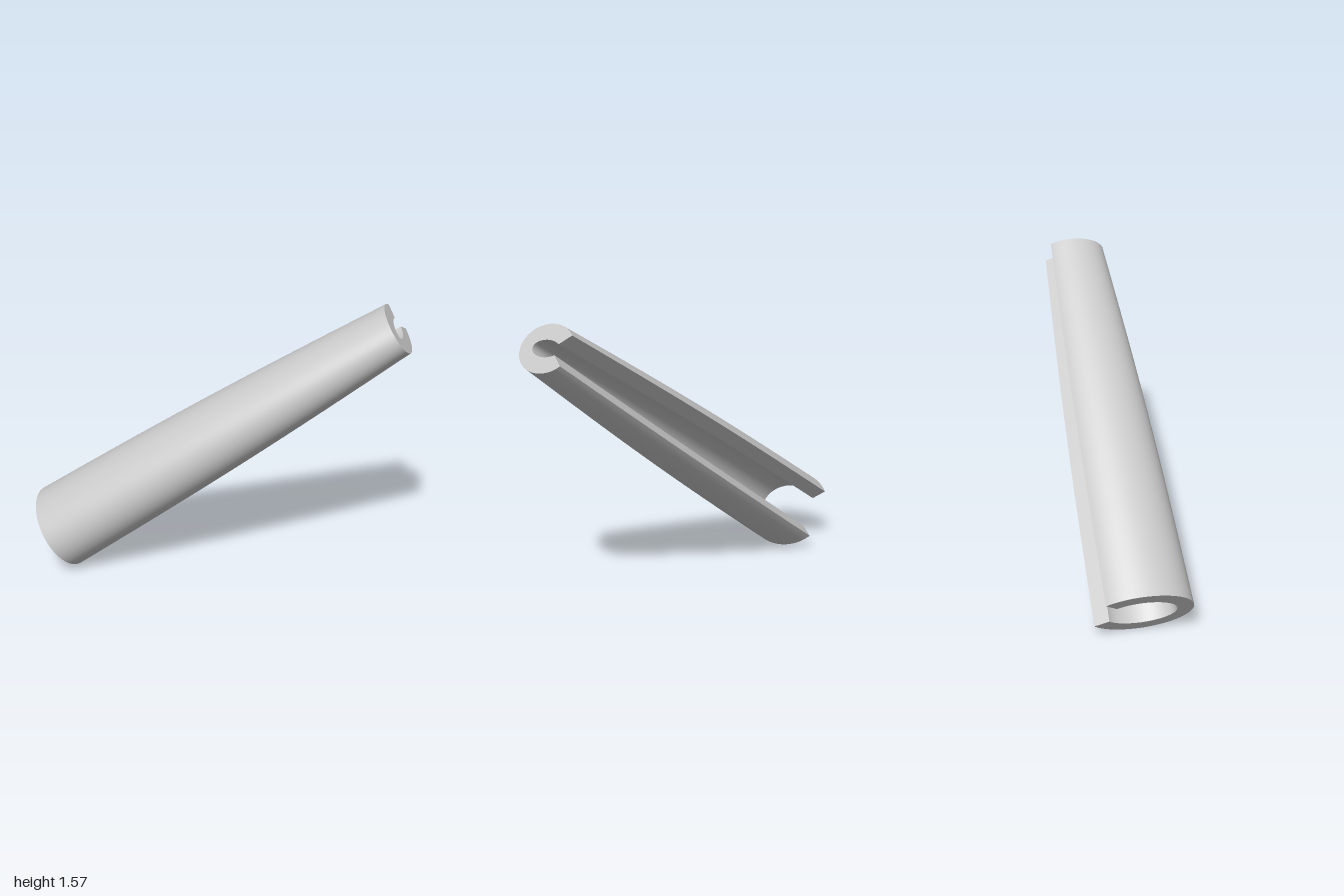
import * as THREE from 'three';

// Axis of the slit tube, and the frame of its oval cross-section
const START = new THREE.Vector3(-0.867, 0.185, -0.129);
const END = new THREE.Vector3(0.92, 1.465, 0.165);
const along = END.clone().sub(START).normalize();
const back = new THREE.Vector3(0, 0, -1).addScaledVector(along, along.z).normalize();
const up = along.clone().cross(back);

const WALL = 0.086;
const SLIT = 0.66; // half angle of the slit in the back

// Point at t along the axis, s around from lip to lip, k through the wall (0 inside, 1 outside)
function tubePoint(t, s, k) {
  const angle = THREE.MathUtils.lerp(SLIT, 2 * Math.PI - SLIT, s);
  const inset = WALL * (1 - k) - 0.015 * Math.sin(Math.PI * t); // slight belly
  const a = THREE.MathUtils.lerp(0.274, 0.18, t) - inset;
  const b = THREE.MathUtils.lerp(0.228, 0.132, t) - inset;
  return START.clone().lerp(END, t)
    .addScaledVector(back, a * Math.cos(angle))
    .addScaledVector(up, b * Math.sin(angle));
}

// Grid surface whose front faces du x dv
function patch(name, nu, nv, material, pointAt) {
  const geometry = new THREE.PlaneGeometry(1, 1, nu, nv);
  const { position, uv } = geometry.attributes;
  for (let i = 0; i < position.count; i++) {
    const p = pointAt(uv.getX(i), uv.getY(i));
    position.setXYZ(i, p.x, p.y, p.z);
  }
  geometry.computeVertexNormals();
  const mesh = new THREE.Mesh(geometry, material);
  mesh.name = name;
  return mesh;
}

export function createModel() {
  const group = new THREE.Group();
  group.name = 'slitTube';
  const material = new THREE.MeshStandardMaterial({ color: 0xcccccc });
  const around = 72, length = 32;
  group.add(
    // Walls
    patch('outerWall', around, length, material, (u, v) => tubePoint(v, u, 1)),
    patch('innerWall', around, length, material, (u, v) => tubePoint(v, 1 - u, 0)),
    // Lips of the slit
    patch('upperLip', 1, length, material, (u, v) => tubePoint(v, 0, u)),
    patch('lowerLip', 1, length, material, (u, v) => tubePoint(v, 1, 1 - u)),
    // Flat C-shaped ends
    patch('narrowEnd', 1, around, material, (u, v) => tubePoint(1, v, u)),
    patch('wideEnd', 1, around, material, (u, v) => tubePoint(0, v, 1 - u)),
  );
  return group;
}
